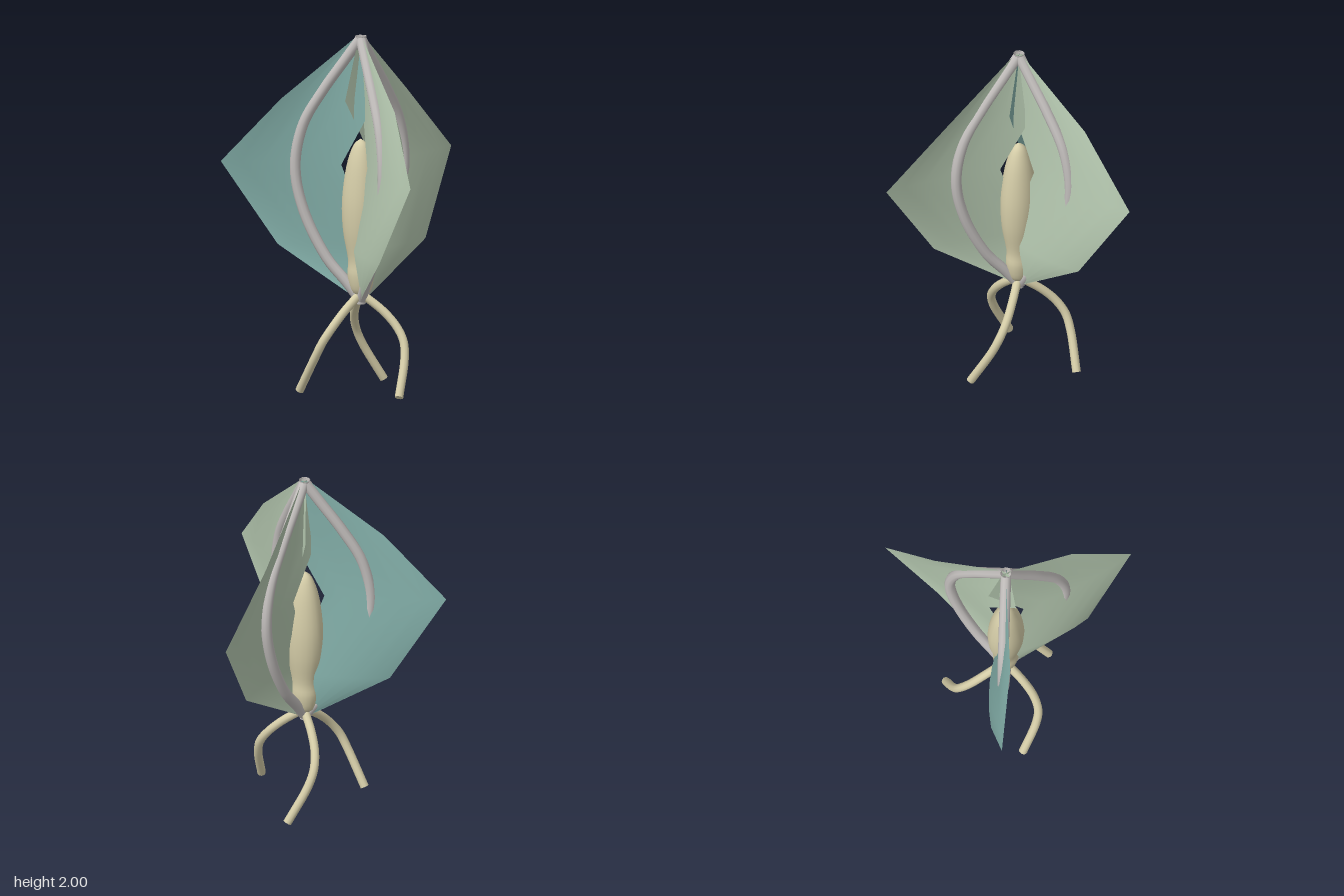
import * as THREE from 'three';

const mat = (name, color, side = THREE.FrontSide) => {
  const m = new THREE.MeshStandardMaterial({ color, side });
  m.name = name;
  return m;
};

// Cupped sheet lofted from rows of [y, inner radius, outer radius, inner offset, outer offset, bulge]
function finGeometry(rows, cols = 6) {
  const pos = [], idx = [];
  rows.forEach(([y, r0, r1, z0, z1, bulge], i) => {
    for (let j = 0; j <= cols; j++) {
      const t = j / cols;
      pos.push(r0 + (r1 - r0) * t, y, z0 + (z1 - z0) * t + bulge * 4 * t * (1 - t));
      if (i < rows.length - 1 && j < cols) {
        const a = i * (cols + 1) + j, b = a + cols + 1;
        idx.push(a, b, a + 1, b, b + 1, a + 1);
      }
    }
  });
  const g = new THREE.BufferGeometry();
  g.setAttribute('position', new THREE.Float32BufferAttribute(pos, 3));
  g.setIndex(idx);
  g.computeVertexNormals();
  return g;
}

// Smooth tube through points, with a flat cap at its far end
function cappedTube(name, points, radius, material) {
  const group = new THREE.Group();
  group.name = name;
  const curve = new THREE.CatmullRomCurve3(points.map((p) => new THREE.Vector3(...p)));
  const tube = new THREE.Mesh(new THREE.TubeGeometry(curve, 40, radius, 10), material);
  tube.name = name + 'Tube';
  const cap = new THREE.Mesh(new THREE.CircleGeometry(radius, 10), material);
  cap.name = name + 'End';
  cap.position.copy(curve.getPoint(1));
  cap.quaternion.setFromUnitVectors(new THREE.Vector3(0, 0, 1), curve.getTangent(1));
  group.add(tube, cap);
  return group;
}

export function createModel() {
  const green = mat('pale green', 0xb5c8b0, THREE.DoubleSide);
  const teal = mat('teal', 0x84b0aa, THREE.DoubleSide);
  const grey = mat('warm grey', 0xc2bebc, THREE.DoubleSide);
  const cream = mat('cream', 0xd5cda8);

  const model = new THREE.Group();
  model.name = 'finnedPod';
  const body = new THREE.Group();
  body.name = 'body';
  body.position.x = -0.195;
  model.add(body);

  const fin = finGeometry([
    [1.99, -0.02, 0.03, 0, 0, 0],
    [1.64, -0.09, 0.44, -0.037, -0.045, 0.038],
    [1.27, 0.11, 0.787, 0, -0.015, 0.025],
    [0.8, -0.06, 0.48, 0.03, 0.06, 0.035],
    [0.53, 0, 0.05, 0.01, 0.015, 0],
  ]);
  const ribPath = [
    [0.005, 1.98, 0], [0.09, 1.86, 0], [0.21, 1.69, 0], [0.325, 1.49, 0], [0.37, 1.25, 0],
    [0.32, 1, 0], [0.19, 0.74, 0], [0.08, 0.61, 0], [0.01, 0.52, 0],
  ];
  const legPath = [
    [0.01, 0.54, -0.01], [0.075, 0.46, -0.1], [0.13, 0.38, -0.16],
    [0.18, 0.3, -0.187], [0.225, 0.21, -0.178], [0.325, 0.01, -0.11],
  ];

  // Three identical sectors, each with a fin, a curved rib and a bent leg
  for (let i = 0; i < 3; i++) {
    const sector = new THREE.Group();
    sector.name = 'sector' + (i + 1);
    sector.rotation.y = (-i * Math.PI * 2) / 3;
    const sheet = new THREE.Mesh(fin, i === 2 ? teal : green);
    sheet.name = 'fin';
    sector.add(sheet, cappedTube('rib', ribPath, 0.03, grey), cappedTube('leg', legPath, 0.024, cream));
    body.add(sector);
  }

  // Central pod with a narrow waist near its foot
  const podProfile = new THREE.SplineCurve([
    [0.001, 1.42], [0.045, 1.38], [0.085, 1.26], [0.11, 1.07], [0.104, 0.9],
    [0.075, 0.74], [0.078, 0.65], [0.055, 0.56], [0.001, 0.53],
  ].reverse().map((p) => new THREE.Vector2(...p)));
  const pod = new THREE.Mesh(new THREE.LatheGeometry(podProfile.getPoints(32), 20), cream);
  pod.name = 'pod';
  pod.scale.x = 0.88;
  body.add(pod);

  // Small collars where the ribs gather
  [['topCollar', 1.98, 0.04], ['bottomCollar', 0.52, 0.06]].forEach(([name, y, h]) => {
    const collar = new THREE.Mesh(new THREE.CylinderGeometry(0.032, 0.027, h, 10, 1, true), grey);
    collar.name = name;
    collar.position.y = y;
    body.add(collar);
  });

  return model;
}
